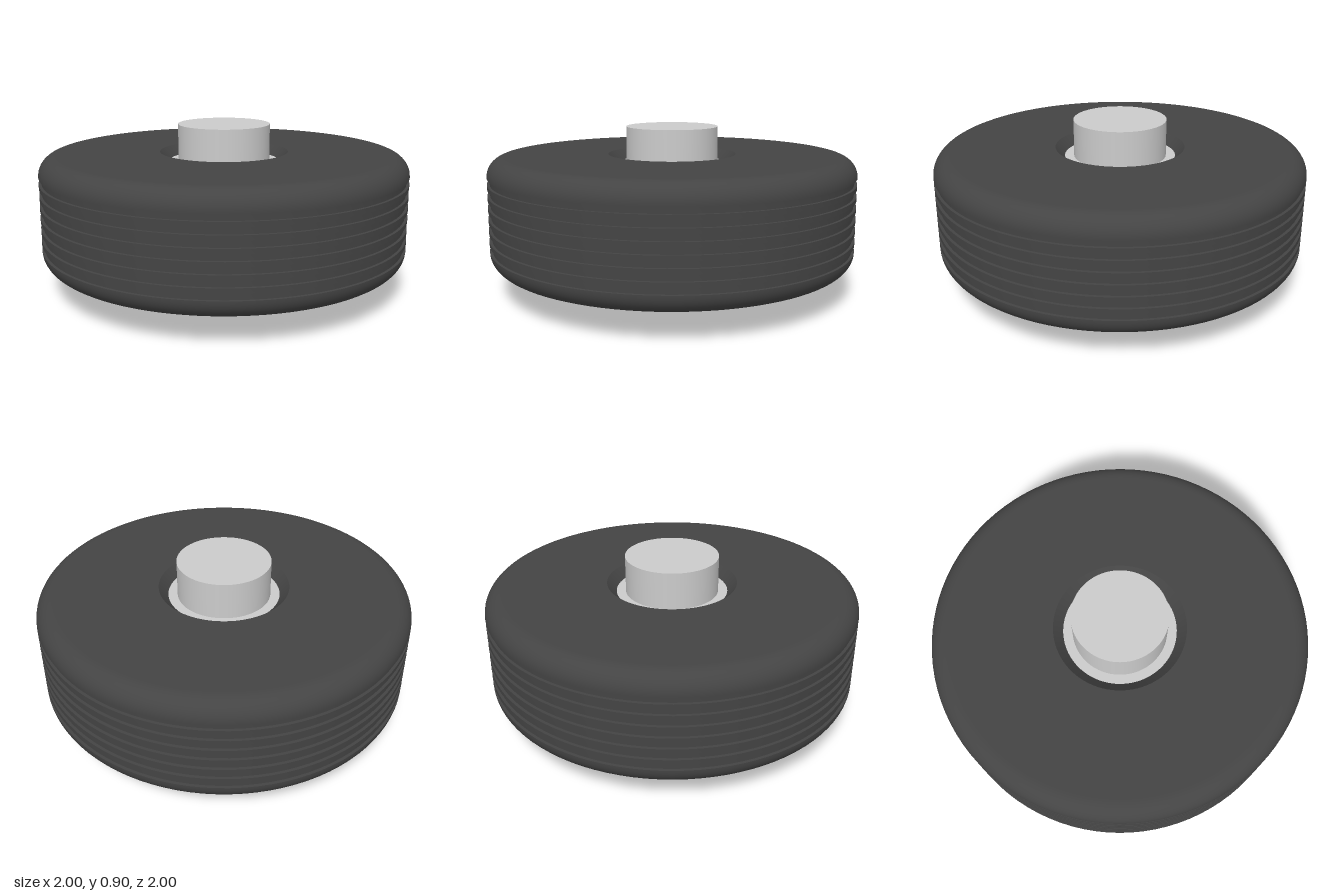
import * as THREE from 'three';
import { toCreasedNormals } from 'three/addons/utils/BufferGeometryUtils.js';

const SEGMENTS = 96;
const MID = 0.45;      // height of the wheel's middle plane
const HALF = 0.3;      // half width of the tyre
const CORNER = 0.1;    // shoulder radius

// Closed tyre section, running from the lower bore outwards, up the tread and back in
function tyreProfile() {
  const pts = [];
  const add = (r, y) => pts.push(new THREE.Vector2(r, MID + y));
  const shoulder = (side, from) => {
    for (let i = 0; i <= 10; i++) {
      const a = from + (i / 10) * Math.PI / 2;
      add(1 - CORNER + CORNER * Math.cos(a), side * (HALF - CORNER) + CORNER * Math.sin(a));
    }
  };

  add(0.3, -HALF + 0.05);
  add(0.35, -HALF);
  add(0.89, -HALF);
  shoulder(-1, -Math.PI / 2);
  // Seven square grooves around the tread
  for (let i = -3; i <= 3; i++) {
    const y = i * 0.06, w = 0.0175, floor = 0.985;
    add(1, y - w);
    add(floor, y - w);
    add(floor, y + w);
    add(1, y + w);
  }
  shoulder(1, 0);
  add(0.89, HALF);
  add(0.35, HALF);
  add(0.3, HALF - 0.05);
  add(0.3, -HALF + 0.05);
  return pts;
}

export function createModel() {
  const model = new THREE.Group();
  model.name = 'wheel';
  const rubber = new THREE.MeshStandardMaterial({ color: 0x444444 });
  const metal = new THREE.MeshStandardMaterial({ color: 0xcccccc });

  const add = (name, geometry, material, y = 0) => {
    const mesh = new THREE.Mesh(geometry, material);
    mesh.name = name;
    mesh.position.y = y;
    model.add(mesh);
  };

  // Grooved tyre with a chamfered bore
  const tyre = new THREE.LatheGeometry(tyreProfile(), SEGMENTS);
  add('tyre', toCreasedNormals(tyre, 0.5), rubber);

  // Hub, recessed between the tyre's chamfers
  add('hub', new THREE.CylinderGeometry(0.3, 0.3, 0.5, SEGMENTS), metal, MID);

  // Axle through the hub
  add('axle', new THREE.CylinderGeometry(0.25, 0.25, 0.9, SEGMENTS), metal, MID);

  return model;
}
